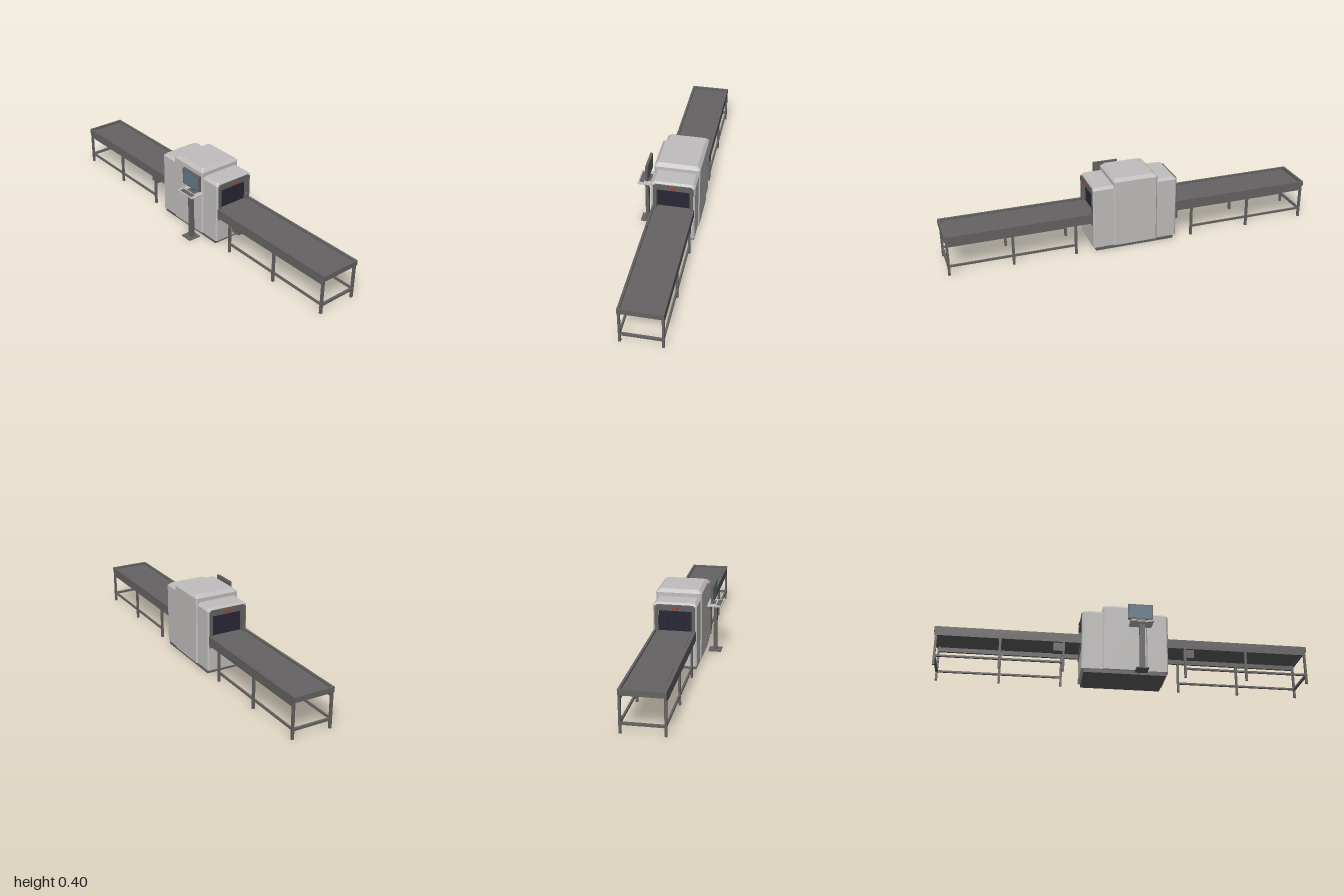
import * as THREE from 'three';

const paint = (name, color) => {
  const m = new THREE.MeshStandardMaterial({ color });
  m.name = name;
  return m;
};
const points = (list) => list.map(([a, b]) => new THREE.Vector2(a, b));

export function createModel() {
  const model = new THREE.Group();
  model.name = 'baggageScanner';
  const shell = paint('lightGreyShell', 0xc0bebd);
  const dark = paint('darkGreyMetal', 0x656362);
  const navy = paint('navyCurtain', 0x282737);
  const red = paint('redLamp', 0xa5402e);
  const glass = paint('blueScreen', 0x617987);

  const add = (parent, name, geo, mat) => {
    const mesh = new THREE.Mesh(geo, mat);
    mesh.name = name;
    parent.add(mesh);
    return mesh;
  };
  // Box given by its low and high limits on each axis
  const box = (parent, name, mat, x0, x1, y0, y1, z0, z1) => {
    const geo = new THREE.BoxGeometry(Math.abs(x1 - x0), y1 - y0, z1 - z0);
    geo.translate((x0 + x1) / 2, (y0 + y1) / 2, (z0 + z1) / 2);
    return add(parent, name, geo, mat);
  };
  // Housing with cut vertical corners and slanted top edges;
  // openEnd (+1 or -1) leaves out the upright face on that x side
  const hood = (name, x0, x1, y0, y1, z0, z1, cut, openEnd = 0) => {
    const c = 0.007;
    const ring = (y, i) => {
      const [a, b, d, e] = [x0 + i, x1 - i, z0 + i, z1 - i];
      return [[b, e - c], [b, d + c], [b - c, d], [a + c, d], [a, d + c], [a, e - c], [a + c, e], [b - c, e]]
        .map(([x, z]) => [x, y, z]);
    };
    const rings = [ring(y0, 0), ring(y1 - cut, 0), ring(y1, cut)];
    const pos = [];
    const skipped = { 1: 0, '-1': 4 }[openEnd];
    for (let r = 0; r < 2; r++) {
      for (let i = 0; i < 8; i++) {
        if (r === 0 && i === skipped) continue;
        const j = (i + 1) % 8;
        const [a, b, d, e] = [rings[r][i], rings[r][j], rings[r + 1][j], rings[r + 1][i]];
        pos.push(...a, ...b, ...d, ...a, ...d, ...e);
      }
    }
    for (let i = 1; i < 7; i++) {
      pos.push(...rings[2][0], ...rings[2][i], ...rings[2][i + 1]);
      pos.push(...rings[0][0], ...rings[0][i + 1], ...rings[0][i]);
    }
    const geo = new THREE.BufferGeometry();
    geo.setAttribute('position', new THREE.Float32BufferAttribute(pos, 3));
    geo.computeVertexNormals();
    return add(model, name, geo, shell);
  };

  // Scanner housing
  box(model, 'plinth', dark, -0.217, 0.217, 0, 0.021, -0.152, 0.068);
  hood('centreHousing', -0.12, 0.12, 0.02, 0.4, -0.163, 0.08, 0.017);
  hood('leftHousing', 0.1, 0.231, 0.02, 0.363, -0.156, 0.073, 0.014, 1);
  hood('rightHousing', -0.231, -0.1, 0.02, 0.363, -0.156, 0.073, 0.014, -1);

  for (const s of [-1, 1]) {
    const side = s > 0 ? 'left' : 'right';

    // Tunnel mouth: end wall and deep frame around a recessed strip curtain
    const mouth = new THREE.Group();
    mouth.name = side + 'TunnelMouth';
    model.add(mouth);
    const opening = new THREE.Path(points([
      [-0.0865, 0.2], [-0.0865, 0.322], [0.0865, 0.322], [0.0865, 0.2]]));
    const wall = new THREE.Shape(points([
      [-0.1075, 0.02], [0.1075, 0.02], [0.1075, 0.349], [-0.1075, 0.349]]));
    const outline = new THREE.Shape(points([
      [-0.105, 0.148], [0.105, 0.148], [0.105, 0.343], [0.095, 0.353], [-0.095, 0.353], [-0.105, 0.343]]));
    wall.holes.push(opening);
    outline.holes.push(opening);
    const endWall = add(mouth, 'endWall', new THREE.ShapeGeometry(wall), shell);
    const frame = add(mouth, 'tunnelFrame',
      new THREE.ExtrudeGeometry(outline, { depth: 0.03, bevelEnabled: false }), dark);
    endWall.rotation.y = frame.rotation.y = s * Math.PI / 2;
    endWall.position.set(s * 0.231, 0, -0.0415);
    frame.position.set(s * 0.204, 0, -0.042);
    for (let i = 0; i < 8; i++) {
      const z = -0.1285 + i * 0.0216;
      const x = 0.211 + (i % 2) * 0.002;
      box(mouth, 'curtainStrip', navy, s * 0.206, s * x, 0.2, 0.322, z, z + 0.0216);
    }
    box(mouth, 'warningLamp', red, s * 0.232, s * 0.24, 0.329, 0.339, -0.056, -0.028);

    // Conveyor with recessed belt
    const conveyor = new THREE.Group();
    conveyor.name = side + 'Conveyor';
    model.add(conveyor);
    box(conveyor, 'belt', dark, s * 0.213, s * 0.979, 0.19, 0.207, -0.128, 0.044);
    box(conveyor, 'beltBed', dark, s * 0.235, s * 0.979, 0.19, 0.206, -0.145, 0.06);
    box(conveyor, 'endPlate', dark, s * 0.988, s * 1, 0.188, 0.216, -0.152, 0.068);
    box(conveyor, 'endStretcher', dark, s * 0.982, s * 0.994, 0.043, 0.055, -0.145, 0.06);
    const roller = add(conveyor, 'endRoller', new THREE.CylinderGeometry(0.009, 0.009, 0.16, 12), dark);
    roller.rotation.x = Math.PI / 2;
    roller.position.set(s * 0.98, 0.196, -0.042);
    for (const z of [-0.152, 0.056]) {
      box(conveyor, 'sideRail', dark, s * 0.232, s * 0.994, 0.165, 0.216, z, z + 0.012);
      box(conveyor, 'longStretcher', dark, s * 0.325, s * 0.988, 0.046, 0.056, z + 0.001, z + 0.011);
      for (const x of [0.325, 0.657, 0.988])
        box(conveyor, 'leg', dark, s * x - 0.006, s * x + 0.006, 0, 0.17, z, z + 0.012);
    }
    box(conveyor, 'driveMotor', dark, s * 0.325, s * 0.378, 0.122, 0.19, 0.006, 0.048);
  }

  // Operator stand with keyboard and monitor
  const stand = new THREE.Group();
  stand.name = 'operatorStand';
  model.add(stand);
  box(stand, 'standBase', dark, 0.048, 0.114, 0, 0.006, 0.092, 0.161);
  box(stand, 'standPost', dark, 0.07, 0.098, 0.005, 0.268, 0.117, 0.135);
  box(stand, 'shelfLip', shell, 0.024, 0.136, 0.266, 0.271, 0.09, 0.161);
  box(stand, 'shelf', shell, 0.018, 0.142, 0.27, 0.275, 0.086, 0.166);
  box(stand, 'keyboard', dark, 0.035, 0.125, 0.275, 0.278, 0.136, 0.159);
  box(stand, 'monitorFoot', dark, 0.05, 0.11, 0.275, 0.277, 0.1, 0.127);
  box(stand, 'monitorNeck', dark, 0.07, 0.09, 0.276, 0.31, 0.108, 0.114);
  box(stand, 'monitorCase', dark, 0.01, 0.145, 0.298, 0.387, 0.11, 0.1235);
  box(stand, 'monitorScreen', glass, 0.016, 0.139, 0.305, 0.381, 0.123, 0.1243);

  return model;
}
